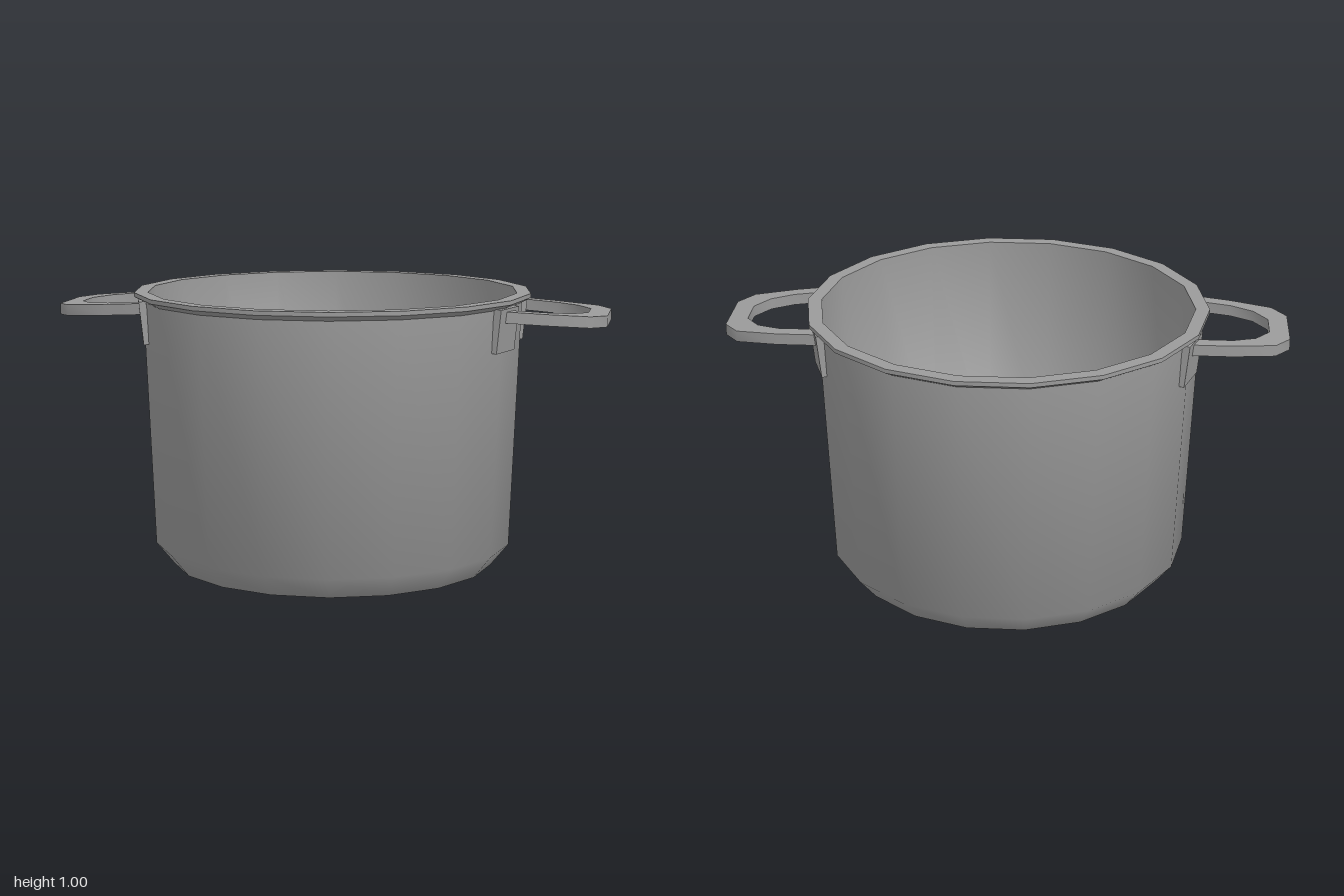
import * as THREE from 'three';
import { toCreasedNormals } from 'three/addons/utils/BufferGeometryUtils.js';

const SIDES = 18;
const { degToRad } = THREE.MathUtils;

export function createModel() {
  const model = new THREE.Group();
  model.name = 'cookingPot';
  const metal = new THREE.MeshStandardMaterial({ color: 0x9b9b9b });

  function add(parent, name, geometry) {
    const mesh = new THREE.Mesh(geometry, metal);
    mesh.name = name;
    parent.add(mesh);
    return mesh;
  }

  // Pot: outside from the base up, over the flared rim, down the inside to the floor
  const profile = [
    [0, 0], [0.588, 0], [0.653, 0.08], [0.688, 0.967], [0.72, 0.985], [0.72, 1],
    [0.67, 1], [0.645, 0.085], [0.585, 0.015], [0, 0.015],
  ].map(([r, y]) => new THREE.Vector2(r, y));
  const pot = new THREE.LatheGeometry(profile, SIDES, Math.PI / 2);
  add(model, 'pot', toCreasedNormals(pot, degToRad(45)));

  // Loop handle outline: half of each edge, mirrored across the middle
  const outer = [[0.65, 0.243], [0.797, 0.222], [0.947, 0.183], [1, 0.112]];
  const inner = [[0.93, 0.06], [0.88, 0.13], [0.8, 0.168], [0.65, 0.19]];
  const mirrored = (pts) => pts.map(([x, z]) => [x, -z]).reverse();
  const outline = [...outer, ...mirrored(outer), ...mirrored(inner), ...inner];
  const shape = new THREE.Shape(outline.map(([x, z]) => new THREE.Vector2(x, z)));
  const bar = new THREE.ExtrudeGeometry(shape, { depth: 0.04, bevelEnabled: false });
  bar.rotateX(Math.PI / 2);

  // The loop droops slightly away from the pot
  const pos = bar.attributes.position;
  for (let i = 0; i < pos.count; i++) {
    pos.setY(i, pos.getY(i) + 0.96 - 0.06 * (pos.getX(i) - 0.66));
  }
  const loop = toCreasedNormals(bar, degToRad(40));

  // Mounting plate, leaning so that its lower edge sinks towards the wall
  const plate = new THREE.BoxGeometry(0.026, 0.155, 0.15);
  plate.rotateZ(degToRad(-6));
  plate.translate(0.684, 0.895, 0);

  for (const [name, turn] of [['left', 0], ['right', Math.PI]]) {
    const handle = new THREE.Group();
    handle.name = `${name}Handle`;
    add(handle, 'handleLoop', loop);
    for (const side of [1, -1]) {
      const mount = add(handle, side > 0 ? 'mountA' : 'mountB', plate);
      mount.rotation.y = side * degToRad(18);
    }
    handle.rotation.y = turn;
    model.add(handle);
  }
  return model;
}
